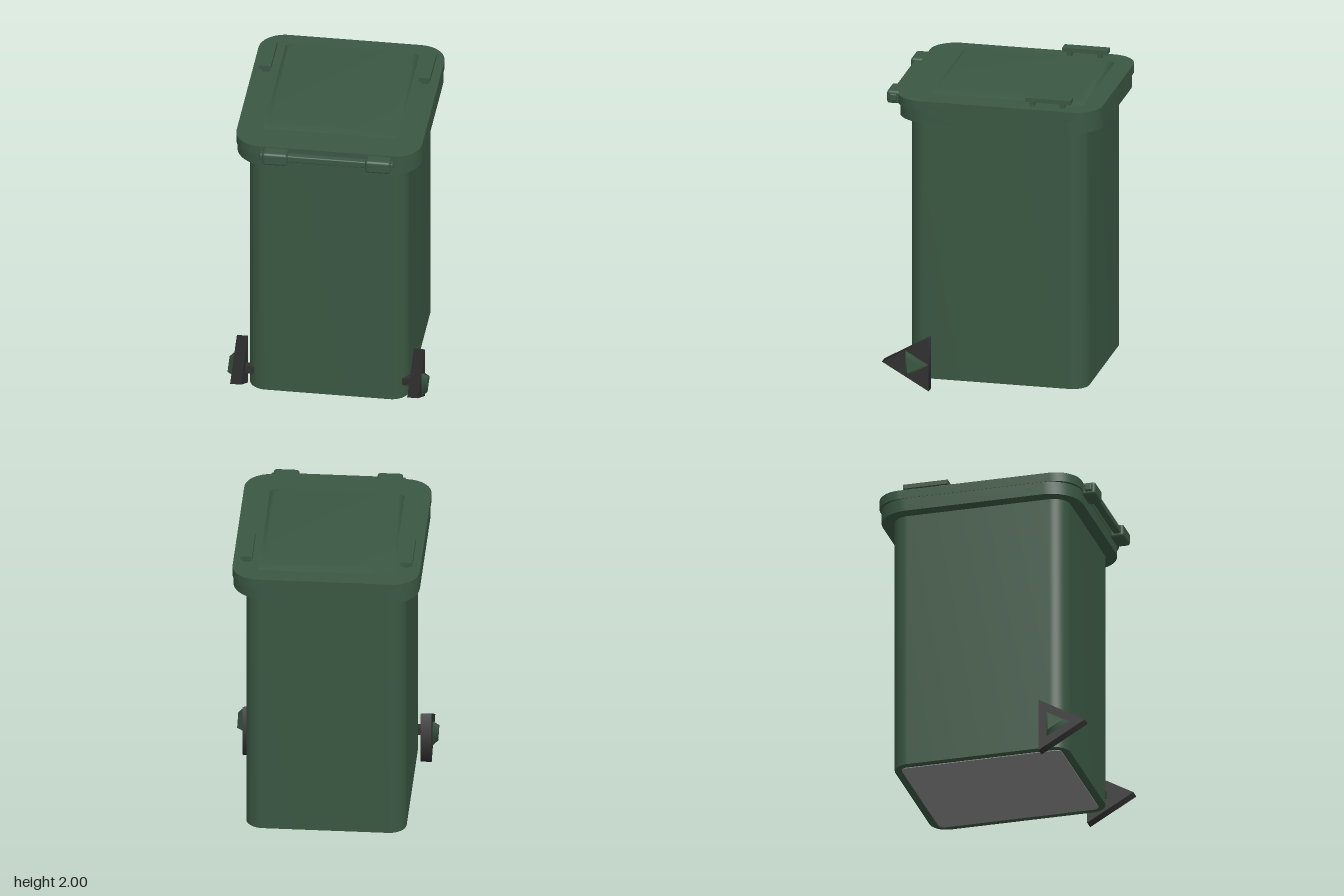
import * as THREE from 'three';
import { toCreasedNormals } from 'three/addons/utils/BufferGeometryUtils.js';
import { RoundedBoxGeometry } from 'three/addons/geometries/RoundedBoxGeometry.js';

const green = new THREE.MeshStandardMaterial({ name: 'green plastic', color: 0x3a5742 });
const black = new THREE.MeshStandardMaterial({ name: 'black rubber', color: 0x303030 });
const grey = new THREE.MeshStandardMaterial({ name: 'grey base', color: 0x8c8c8c });

// Upright slab with rounded vertical corners, from y0 to y1
function roundedSlab(halfX, z0, z1, radius, y0, y1) {
  const h = (z1 - z0) / 2, r = radius, w = halfX;
  const s = new THREE.Shape();
  s.absarc(w - r, h - r, r, 0, Math.PI / 2);
  s.absarc(-w + r, h - r, r, Math.PI / 2, Math.PI);
  s.absarc(-w + r, -h + r, r, Math.PI, Math.PI * 1.5);
  s.absarc(w - r, -h + r, r, Math.PI * 1.5, Math.PI * 2);
  const g = new THREE.ExtrudeGeometry(s, { depth: y1 - y0, bevelEnabled: false, curveSegments: 8 });
  g.rotateX(-Math.PI / 2).translate(0, y0, (z0 + z1) / 2);
  return toCreasedNormals(g, 0.6);
}

// Raised panel: smooth-shaded frustum without a bottom
function raisedPanel(halfX, z0, z1, inset, y0, y1) {
  const ring = (i, y) => [
    -halfX + i, y, z1 - i, halfX - i, y, z1 - i,
    halfX - i, y, z0 + i, -halfX + i, y, z0 + i,
  ];
  const g = new THREE.BufferGeometry();
  g.setAttribute('position', new THREE.Float32BufferAttribute([...ring(0, y0), ...ring(inset, y1)], 3));
  const index = [4, 5, 6, 4, 6, 7];
  for (let i = 0; i < 4; i++) {
    const j = (i + 1) % 4;
    index.push(i, j, j + 4, i, j + 4, i + 4);
  }
  g.setIndex(index);
  g.computeVertexNormals();
  return g;
}

export function createModel() {
  const model = new THREE.Group();
  model.name = 'wheeledBin';
  const add = (name, geometry, material, x = 0, y = 0, z = 0) => {
    const mesh = new THREE.Mesh(geometry, material);
    mesh.name = name;
    mesh.position.set(x, y, z);
    model.add(mesh);
    return mesh;
  };

  // Body, base, rim and lid
  add('body', roundedSlab(0.51, -0.615, 0.54, 0.11, 0.06, 1.8), green);
  add('basePlate', roundedSlab(0.46, -0.565, 0.49, 0.04, 0.055, 0.061), grey);
  add('rim', roundedSlab(0.593, -0.702, 0.617, 0.21, 1.795, 1.88), green);
  add('lid', roundedSlab(0.595, -0.705, 0.62, 0.17, 1.88, 1.94), green);
  add('lidPanel', raisedPanel(0.43, -0.583, 0.41, 0.036, 1.938, 1.977), green);

  // Front handle: bar held by two rounded brackets
  add('handleBar', new RoundedBoxGeometry(0.855, 0.046, 0.046, 2, 0.008), green, 0.012, 1.896, 0.658);
  for (const x of [-0.317, 0.343])
    add('handleBracket', new RoundedBoxGeometry(0.162, 0.086, 0.092, 3, 0.018), green, x, 1.894, 0.656);

  for (const side of [-1, 1]) {
    // Lid grips on short posts
    add('lidGrip', new THREE.BoxGeometry(0.074, 0.028, 0.295), green, side * 0.51, 1.986, -0.377);
    for (const z of [-0.27, -0.467])
      add('lidGripPost', new THREE.BoxGeometry(0.045, 0.04, 0.03), green, side * 0.51, 1.955, z);

    // Three-sided wheels, hubs and axle stubs
    const wheel = new THREE.CylinderGeometry(0.203, 0.203, 0.07, 3).rotateZ(-Math.PI / 2);
    add('wheel', wheel, black, side * 0.567, 0.18, 0.487);
    const hub = new THREE.CylinderGeometry(0.065, 0.1, 0.037, 3).rotateY(Math.PI).rotateZ(-Math.PI / 2);
    add('hub', hub, green, side * 0.62, 0.18, 0.487).rotation.y = side < 0 ? Math.PI : 0;
    add('axle', new THREE.BoxGeometry(0.085, 0.05, 0.05), black, side * 0.515, 0.18, 0.487);
  }
  return model;
}
